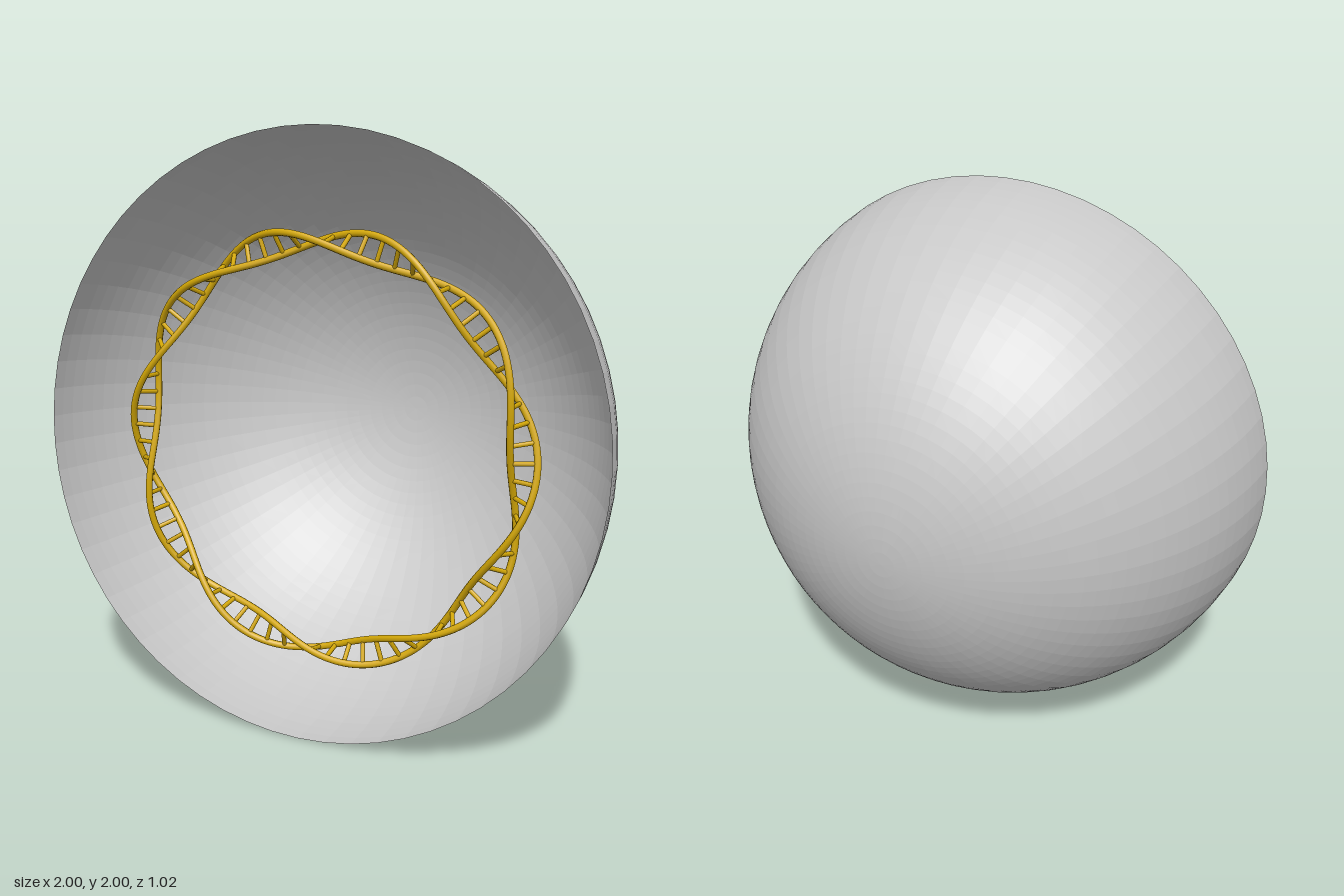
import * as THREE from 'three';

const RING_RADIUS = 0.698;
const TWIST_RADIUS = 0.042;
const TWISTS = 5;
const RUNGS = 72;

// Point on one strand of the double helix, angle measured clockwise from the top
function strandPoint(angle, side) {
  const phase = TWISTS * angle + side * Math.PI / 2;
  const r = RING_RADIUS + TWIST_RADIUS * Math.cos(phase);
  return new THREE.Vector3(
    r * Math.sin(angle), r * Math.cos(angle), TWIST_RADIUS * Math.sin(phase));
}

class StrandCurve extends THREE.Curve {
  constructor(side) {
    super();
    this.side = side;
  }
  getPoint(t, target = new THREE.Vector3()) {
    return target.copy(strandPoint(t * Math.PI * 2, this.side));
  }
}

export function createModel() {
  const shellGrey = new THREE.MeshStandardMaterial({
    color: 0xc8c8c8, flatShading: true, side: THREE.DoubleSide });
  shellGrey.name = 'shell grey';
  const gold = new THREE.MeshStandardMaterial({ color: 0xd4a806 });
  gold.name = 'gold';

  const model = new THREE.Group();
  model.name = 'bowlWithHelixRing';

  // Thin spherical bowl, slightly less than a hemisphere, opening forward and a little up
  const R = 1.001;
  const bowlGeometry = new THREE.SphereGeometry(
    R, 64, 32, 0, Math.PI * 2, 0, THREE.MathUtils.degToRad(87.4));
  bowlGeometry.rotateX(THREE.MathUtils.degToRad(-93.7));
  const bowl = new THREE.Mesh(bowlGeometry, shellGrey);
  bowl.name = 'bowl';
  bowl.position.set(0, R, 0.49);
  model.add(bowl);

  // Double helix bent into a ring, floating inside the bowl
  const ring = new THREE.Group();
  ring.name = 'helixRing';
  ring.position.set(0, 0.94, 0.317);
  model.add(ring);

  for (const side of [1, -1]) {
    const strand = new THREE.Mesh(
      new THREE.TubeGeometry(new StrandCurve(side), 300, 0.012, 8, true), gold);
    strand.name = side > 0 ? 'firstStrand' : 'secondStrand';
    ring.add(strand);
  }

  // Rungs joining the two strands
  const rungGeometry = new THREE.CylinderGeometry(0.008, 0.008, 2 * TWIST_RADIUS, 8);
  const up = new THREE.Vector3(0, 1, 0);
  for (let i = 0; i < RUNGS; i++) {
    const angle = (i + 0.5) / RUNGS * Math.PI * 2;
    const a = strandPoint(angle, 1);
    const b = strandPoint(angle, -1);
    const rung = new THREE.Mesh(rungGeometry, gold);
    rung.name = 'rung';
    rung.position.copy(a).add(b).multiplyScalar(0.5);
    rung.quaternion.setFromUnitVectors(up, b.sub(a).normalize());
    ring.add(rung);
  }
  return model;
}
